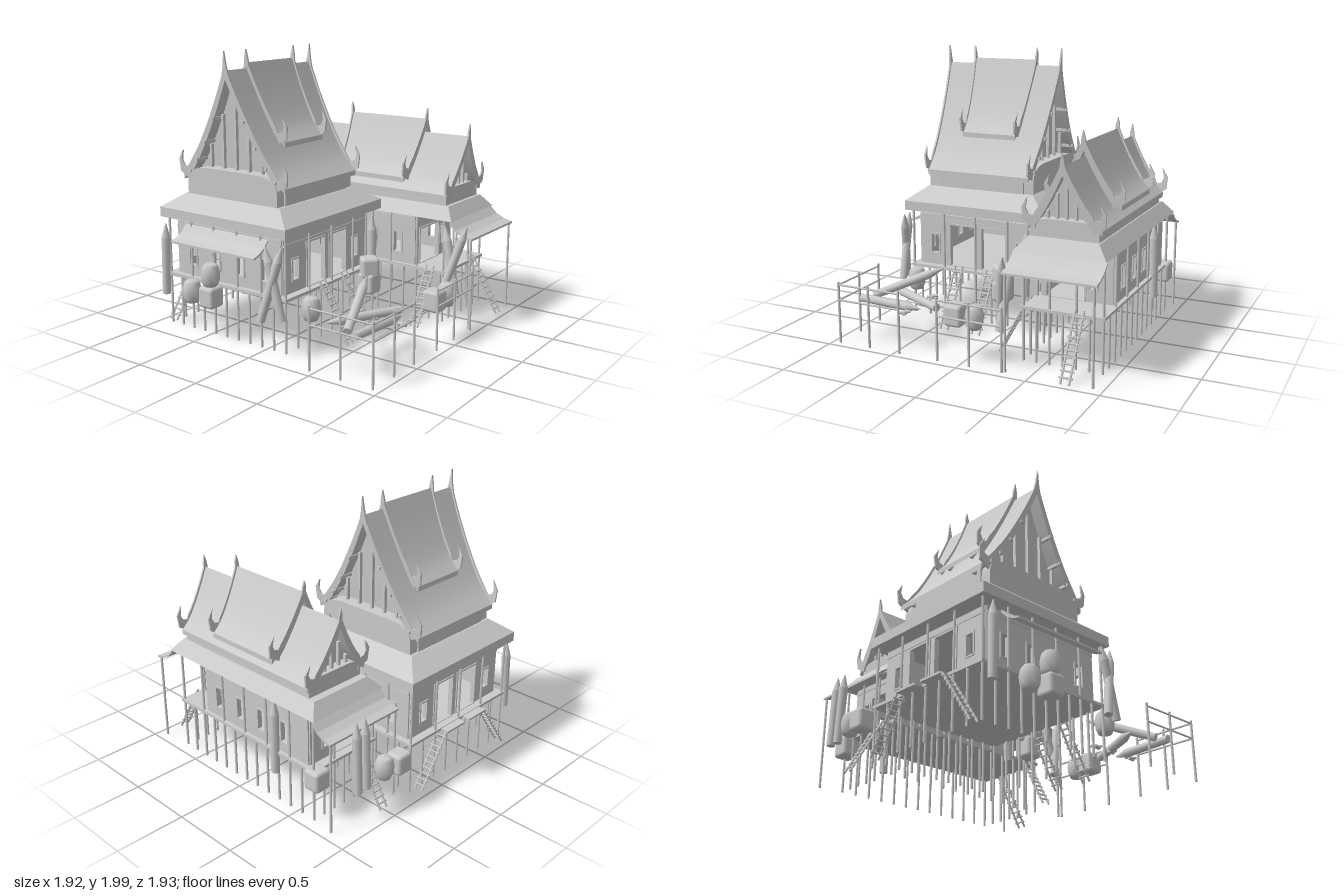
import * as THREE from 'three';
import { toCreasedNormals } from 'three/addons/utils/BufferGeometryUtils.js';
import { RoundedBoxGeometry } from 'three/addons/geometries/RoundedBoxGeometry.js';

const V = (x, y, z) => new THREE.Vector3(x, y, z);
const mat = new THREE.MeshStandardMaterial({ color: 0xcccccc, side: THREE.DoubleSide });

function add(parent, name, geo) {
  const mesh = new THREE.Mesh(geo, mat);
  mesh.name = name;
  parent.add(mesh);
  return mesh;
}
function group(parent, name) {
  const g = new THREE.Group();
  g.name = name;
  parent.add(g);
  return g;
}
function box(parent, name, x0, x1, y0, y1, z0, z1) {
  const mesh = add(parent, name, new THREE.BoxGeometry(x1 - x0, y1 - y0, z1 - z0));
  mesh.position.set((x0 + x1) / 2, (y0 + y1) / 2, (z0 + z1) / 2);
}
// Round pole between two points
function pole(parent, name, a, b, r, r2 = r, sides = 6) {
  const mesh = add(parent, name, new THREE.CylinderGeometry(r2, r, a.distanceTo(b), sides));
  mesh.position.copy(a).lerp(b, 0.5);
  mesh.quaternion.setFromUnitVectors(V(0, 1, 0), b.clone().sub(a).normalize());
}
// Box with a different rectangle [x0, x1, z0, z1] at bottom and top
function hip(parent, name, lo, hi, y0, y1) {
  const geo = new THREE.BoxGeometry(1, 1, 1), p = geo.attributes.position;
  for (let i = 0; i < p.count; i++) {
    const top = p.getY(i) > 0, r = top ? hi : lo;
    p.setXYZ(i, r[p.getX(i) > 0 ? 1 : 0], top ? y1 : y0, r[p.getZ(i) > 0 ? 3 : 2]);
  }
  geo.computeVertexNormals();
  add(parent, name, geo);
}
const shapeOf = pts => new THREE.Shape(pts.map(([x, y]) => new THREE.Vector2(x, y)));
const extrude = (shape, depth) => new THREE.ExtrudeGeometry(shape, { depth, bevelEnabled: false, curveSegments: 10 });

// Swept roof section: fraction across against fraction of height
const sweep = new THREE.SplineCurve([[0, 1], [0.25, 0.67], [0.52, 0.365], [0.75, 0.155], [1, 0]]
  .map(p => new THREE.Vector2(...p))).getPoints(12);
const flip = pts => pts.map(([x, y]) => [-x, y]).reverse();

// Steep gable roof, ridge along local z, ends flaring outward with height
function gableRoof(parent, name, { hw, y0, y1, len, flare, tip, purlins }) {
  const g = group(parent, name), H = y1 - y0;
  const half = sweep.map(p => [p.x * hw, y0 + p.y * H]);
  const lower = d => half.map(([x, y]) => [x, y - d]);
  const yAt = u => {
    const i = Math.max(1, sweep.findIndex(p => p.x >= u)), a = sweep[i - 1], b = sweep[i];
    return y0 + H * (a.y + (b.y - a.y) * (u - a.x) / (b.x - a.x));
  };
  const flared = (part, pts, depth, z) => {
    const geo = extrude(shapeOf(pts), depth).translate(0, 0, z), p = geo.attributes.position;
    for (let i = 0; i < p.count; i++) {
      const w = p.getZ(i);
      p.setZ(i, w + Math.sign(w) * flare * (p.getY(i) - y0));
    }
    geo.computeVertexNormals();
    add(g, part, toCreasedNormals(geo, 0.5));
  };
  const under = lower(0.035);
  flared('roofShell', [...flip(half), ...half.slice(1), ...[...under].reverse(), ...flip(under).reverse().slice(1)], len * 2, -len);
  // Barge board: spire at the ridge, upturned hook at each eave
  const outer = half.filter(([x]) => x > 0.01 && x < hw * 0.76).map(([x, y]) => [x, y + 0.03]);
  const inner = lower(0.06).filter(([x]) => x < hw * 0.76).reverse();
  const right = [...outer, [hw - 0.05, y0 + 0.06], [hw - 0.015, y0 + 0.07], [hw + 0.003, y0 + 0.105], [hw - 0.01, y0 + 0.175],
    [hw + 0.03, y0 + 0.11], [hw + 0.022, y0 + 0.02], [hw - 0.06, y0 - 0.025], ...inner];
  const board = [[0, tip], [0.014, y1 + 0.03], ...right, ...flip(right).slice(1), [-0.014, y1 + 0.03]];
  for (const s of [-1, 1]) {
    flared('bargeBoard', board, 0.013, s * len - 0.0065);
    const infill = half.map(([x, y]) => [x * 0.97, y - 0.03]);
    flared('gablePanel', [...flip(infill), ...infill.slice(1)], 0.016, s * (len - 0.1) - 0.008);
    for (const u of [-0.5, -0.25, 0, 0.25, 0.5]) {
      const z = s * (len - 0.05);
      box(g, 'gableStrut', u * hw - 0.009, u * hw + 0.009, y0 + 0.02, yAt(Math.abs(u)) - 0.06, z - 0.012, z + 0.012);
    }
  }
  if (purlins) for (const u of [0.3, 0.5, 0.68, 0.84]) for (const s of [-1, 1]) {
    const y = yAt(u) - 0.04, w = len + flare * (y - y0) + 0.02;
    box(g, 'purlin', s * u * hw - 0.011, s * u * hw + 0.011, y - 0.011, y + 0.011, -w, w);
  }
  return g;
}
// Round-shouldered body under a gable roof, along local z
function shoulder(parent, hw, y0, y1, y2, len) {
  const s = new THREE.Shape();
  s.moveTo(-hw, y0).lineTo(hw, y0).lineTo(hw, y1);
  s.bezierCurveTo(hw, y2 - 0.02, hw * 0.75, y2, hw * 0.5, y2);
  s.lineTo(-hw * 0.5, y2).bezierCurveTo(-hw * 0.75, y2, -hw, y2 - 0.02, -hw, y1);
  add(parent, 'roofNeck', toCreasedNormals(extrude(s, len * 2).translate(0, 0, -len), 0.6));
}
// Wall in the xy plane centred on x = 0, with openings [x, y0, y1, width]
function wall(parent, w, y0, y1, openings, x, z, turn) {
  const g = group(parent, 'wall');
  const rect = (k, a, b, c, d) => (k.moveTo(a, c), k.lineTo(b, c), k.lineTo(b, d), k.lineTo(a, d), k.closePath(), k);
  const s = rect(new THREE.Shape(), -w / 2, w / 2, y0, y1);
  for (const [c, a, b, ow] of openings) {
    s.holes.push(rect(new THREE.Path(), c - ow / 2, c + ow / 2, a, b));
    const f = rect(new THREE.Shape(), c - ow / 2 - 0.012, c + ow / 2 + 0.012, a - 0.012, b + 0.012);
    f.holes.push(rect(new THREE.Path(), c - ow / 2, c + ow / 2, a, b));
    add(g, 'openingFrame', extrude(f, 0.036).translate(0, 0, -0.018));
  }
  add(g, 'wallPanel', extrude(s, 0.02).translate(0, 0, -0.01));
  box(g, 'wallRail', -w / 2, w / 2, y1 - 0.05, y1 - 0.035, -0.015, 0.015);
  g.position.set(x, 0, z);
  g.rotation.y = turn;
}
// Four walls round a rectangle
function walls(parent, [x0, x1, z0, z1], y0, y1, ends, sides) {
  const cx = (x0 + x1) / 2, cz = (z0 + z1) / 2;
  for (const z of [z0, z1]) wall(parent, x1 - x0, y0, y1, ends.map(([c, ...r]) => [c - cx, ...r]), cx, z, 0);
  for (const x of [x0, x1]) wall(parent, z1 - z0, y0, y1, sides.map(z => [cz - z, 0.475, 0.625, 0.06]), x, cz, Math.PI / 2);
}
// Stilts round the rim; every second one carries on up to the eaves
function stilts(parent, [x0, x1, z0, z1], nx, nz, floor, eave) {
  for (let i = 0; i < nx; i++) for (let j = 0; j < nz; j++) {
    if (i % (nx - 1) && j % (nz - 1)) continue;
    const x = x0 + (x1 - x0) * i / (nx - 1), z = z0 + (z1 - z0) * j / (nz - 1);
    pole(parent, 'stilt', V(x, 0.01, z), V(x, i % 2 || j % 2 ? floor : eave, z), 0.009);
  }
}
// Sagging lean-to roof running out along local +z
function leanTo(parent, w, run, x, z, turn) {
  const pts = [[0, 0.775], [run * 0.3, 0.725], [run * 0.65, 0.695], [run, 0.68]];
  const shape = shapeOf([...pts, ...pts.map(([a, b]) => [a, b - 0.015]).reverse()]);
  const mesh = add(parent, 'leanToRoof', extrude(shape, w).translate(0, 0, -w / 2).rotateY(-Math.PI / 2));
  mesh.position.set(x, 0, z);
  mesh.rotation.y = turn;
}
function ladder(parent, a, b) {
  const g = group(parent, 'ladder'), d = b.clone().sub(a);
  const side = V(-d.z, 0, d.x).normalize();
  for (const s of [-0.03, 0.03]) pole(g, 'ladderRail', a.clone().addScaledVector(side, s), b.clone().addScaledVector(side, s), 0.008);
  for (let i = 1; i < 11; i++) {
    const c = a.clone().lerp(b, i / 11);
    pole(g, 'rung', c.clone().addScaledVector(side, -0.047), c.clone().addScaledVector(side, 0.047), 0.007);
  }
}
// Pointed log
function log(parent, a, b) {
  const g = group(parent, 'log'), neck = b.clone().lerp(a, 0.2), r = 0.032;
  pole(g, 'logTrunk', a, neck, r * 0.9, r, 10);
  pole(g, 'logPoint', neck, b, r, 0.004, 10);
}
const jarProfile = [[0, 0], [0.045, 0], [0.062, 0.035], [0.067, 0.09], [0.056, 0.14], [0.04, 0.158], [0, 0.158]].map(p => new THREE.Vector2(...p));
function jar(parent, x, y, z, turn = 0) {
  const mesh = add(parent, 'roundJar', new THREE.LatheGeometry(jarProfile, 8));
  mesh.position.set(x, y, z);
  mesh.rotation.y = turn;
}
function squareJar(parent, x, y, z, turn = 0) {
  const mesh = add(parent, 'squareJar', new RoundedBoxGeometry(0.13, 0.15, 0.13, 2, 0.025));
  mesh.position.set(x, y + 0.075, z);
  mesh.rotation.y = turn;
}
function fence(parent, a, b) {
  const g = group(parent, 'fence');
  for (const t of [0, 0.5, 1]) {
    const p = a.clone().lerp(b, t);
    pole(g, 'fencePost', p, p.clone().setY(0.45), 0.009);
  }
  for (const y of [0.32, 0.43]) pole(g, 'fenceRail', a.clone().setY(y), b.clone().setY(y), 0.007);
}

export function createModel() {
  const root = new THREE.Group();
  root.name = 'stiltHouses';

  // Large house
  const big = group(root, 'largeHouse');
  box(big, 'floor', -0.82, 0.245, 0.375, 0.395, -0.91, 0.18);
  stilts(big, [-0.805, 0.23, -0.895, 0.165], 9, 11, 0.38, 0.82);
  walls(big, [-0.77, 0.19, -0.84, 0.11], 0.39, 0.78,
    [[-0.645, 0.485, 0.625, 0.06], [-0.415, 0.4, 0.71, 0.2], [-0.16, 0.4, 0.71, 0.19], [0.055, 0.485, 0.625, 0.06]],
    [-0.69, -0.47, -0.25, -0.03]);
  const eave = [-0.855, 0.275, -0.935, 0.205];
  hip(big, 'eaveBand', eave, eave, 0.81, 0.88);
  hip(big, 'skirtRoof', eave, [-0.73, 0.125, -0.79, 0.06], 0.88, 0.98);
  const bigRoof = group(big, 'steepRoof');
  shoulder(bigRoof, 0.405, 0.97, 1.06, 1.18, 0.425);
  box(bigRoof, 'neckWall', -0.415, 0.415, 0.97, 1.12, -0.35, 0.35);
  gableRoof(bigRoof, 'mainTier', { hw: 0.46, y0: 1.11, y1: 1.87, len: 0.41, flare: 0.063, tip: 2, purlins: true });
  const crown = gableRoof(bigRoof, 'upperTier', { hw: 0.295, y0: 1.38, y1: 1.91, len: 0.215, flare: 0.07, tip: 2 });
  crown.position.z = 0.013;
  bigRoof.position.set(-0.305, 0, -0.365);
  bigRoof.rotation.y = Math.PI / 2;
  leanTo(big, 0.755, 0.15, -0.8, -0.362, -Math.PI / 2);
  for (const x of [-0.417, -0.16]) ladder(big, V(x, 0.01, 0.42), V(x, 0.42, 0.18));
  // Sideways back stairs with landings
  for (const [foot, top, end] of [[-0.77, -0.51, -0.32], [0.17, -0.08, -0.27]]) {
    ladder(big, V(foot, 0.01, -0.925), V(top, 0.385, -0.925));
    box(big, 'landing', Math.min(top, end), Math.max(top, end), 0.375, 0.39, -0.97, -0.9);
  }

  // Small house
  const small = group(root, 'smallHouse');
  box(small, 'floor', 0.335, 0.925, 0.375, 0.395, -0.67, 0.72);
  stilts(small, [0.35, 0.91, -0.655, 0.7], 7, 13, 0.38, 0.79);
  walls(small, [0.375, 0.885, -0.59, 0.45], 0.39, 0.79,
    [[0.55, 0.4, 0.66, 0.27], [0.745, 0.485, 0.625, 0.05]], [0.3, 0.075, -0.14, -0.37]);
  hip(small, 'skirtRoof', [0.305, 0.95, -0.7, 0.78], [0.385, 0.875, -0.63, 0.71], 0.78, 0.87);
  const smallRoof = group(small, 'steepRoof');
  shoulder(smallRoof, 0.235, 0.86, 0.91, 0.99, 0.63);
  gableRoof(smallRoof, 'lowerTier', { hw: 0.26, y0: 0.95, y1: 1.35, len: 0.645, flare: 0.075, tip: 1.44 });
  const upper = gableRoof(smallRoof, 'upperTier', { hw: 0.26, y0: 1.04, y1: 1.45, len: 0.3, flare: 0.08, tip: 1.53 });
  upper.position.z = -0.015;
  smallRoof.position.set(0.63, 0, 0.055);
  leanTo(small, 0.645, 0.18, 0.628, 0.765, 0);
  leanTo(small, 0.64, 0.16, 0.63, -0.685, Math.PI);
  for (const x of [0.325, 0.93]) for (const z of [0.93, -0.83]) pole(small, 'porchPost', V(x, 0.01, z), V(x, 0.68, z), 0.009);
  ladder(small, V(0.75, 0.01, 0.955), V(0.75, 0.42, 0.71));
  ladder(small, V(0.5, 0.01, -0.9), V(0.5, 0.42, -0.66));
  ladder(small, V(0.13, 0.01, 0.59), V(0.35, 0.42, 0.59));

  // Fences round the yard
  const yard = group(root, 'yard');
  fence(yard, V(-0.94, 0.01, 0.95), V(-0.46, 0.01, 0.95));
  fence(yard, V(-0.94, 0.01, 0.46), V(-0.94, 0.01, 0.95));
  fence(yard, V(-0.165, 0.01, 0.95), V(0.31, 0.01, 0.95));

  // Pointed logs: leaning, upright, then lying in the yard
  [[0.14, 0.25, 0.22, 0.15, 0.78, 0.21], [0.21, 0.28, 0.77, 0.3, 0.77, 0.91], [0.25, 0.25, 0.86, 0.29, 0.75, 0.74],
    [-0.94, 0.26, 0.06, -0.87, 0.77, 0.19], [-0.89, 0.27, 0.2, -0.9, 0.76, 0.07], [0.925, 0.23, -0.3, 0.92, 0.78, -0.3],
    [0.66, 0.25, -0.89, 0.66, 0.76, -0.87], [0.74, 0.25, -0.89, 0.74, 0.76, -0.87], [-0.875, 0.25, -0.88, -0.87, 0.77, -0.87],
    [-0.83, 0.29, 0.68, -0.36, 0.5, 0.51], [-0.29, 0.29, 0.73, -0.78, 0.29, 0.48],
    [-0.875, 0.29, 0.765, -0.38, 0.29, 0.8]].forEach(p => log(yard, V(...p.slice(0, 3)), V(...p.slice(3))));
  for (const z of [0.49, 0.64, 0.86]) {
    pole(yard, 'looseBeam', V(-0.47, 0.27, z - 0.03), V(-0.46, 0.27, z + 0.03), 0.015);
    pole(yard, 'looseBeam', V(-0.5, 0.27, z + 0.02), V(-0.43, 0.28, z - 0.02), 0.01);
  }

  // Jars, some squared and some stacked
  [[-0.705, 0.25, 0.3], [0.08, 0.25, 0.88], [0.5, 0.26, -0.9], [-0.9, 0.25, -0.6], [-0.9, 0.4, -0.42]].forEach(j => jar(yard, ...j));
  [[0, 0.25, 0.29], [0, 0.365, 0.29, Math.PI / 4], [-0.065, 0.25, 0.87], [0.36, 0.25, -0.905], [0.885, 0.25, -0.66],
    [-0.9, 0.25, -0.42]].forEach(j => squareJar(yard, ...j));
  return root;
}
